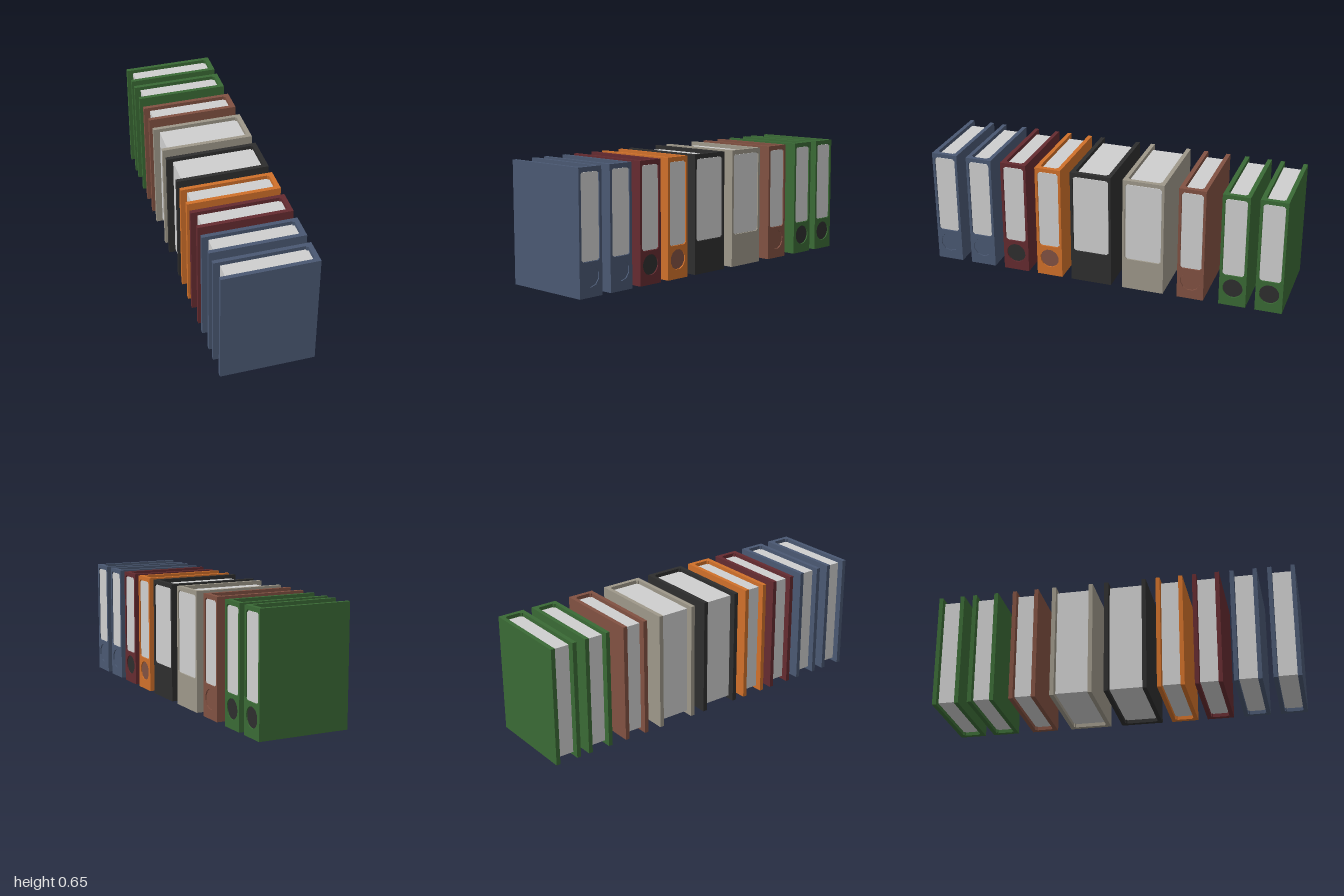
import * as THREE from 'three';

const H = 0.65, X = 0.255, WALL = 0.023, SPINE_IN = 0.23, FACE = 0.009;

function material(name, color) {
  const m = new THREE.MeshStandardMaterial({ color });
  m.name = name;
  return m;
}

function polygon(points, Type = THREE.Shape) {
  return new Type(points.map(([x, y]) => new THREE.Vector2(x, y)));
}

// Rectangle with clipped corners
function clippedRect(w, y0, y1, c) {
  const h = w / 2;
  return [[-h + c, y0], [h - c, y0], [h, y0 + c], [h, y1 - c],
    [h - c, y1], [-h + c, y1], [-h, y1 - c], [-h, y0 + c]];
}

function circle(r, cy, n) {
  return Array.from({ length: n }, (_, i) => {
    const a = ((i + 0.5) / n) * Math.PI * 2;
    return [Math.cos(a) * r, cy + Math.sin(a) * r];
  });
}

// Flat shape turned to face +x, its back at x
function plate(shape, x, depth, mat, name) {
  const g = new THREE.ExtrudeGeometry(shape, { depth, bevelEnabled: false });
  g.rotateY(Math.PI / 2);
  g.translate(x, 0, 0);
  const mesh = new THREE.Mesh(g, mat);
  mesh.name = name;
  return mesh;
}

function binder(width, cover, paper, plug, sides) {
  const g = new THREE.Group();
  const h = width / 2, i = h - WALL, back = X - FACE, c = 0.01;

  // U-shaped cover, open at the back, with small inner corners
  const profile = polygon([[-X, -h], [back, -h], [back, h], [-X, h], [-X, i],
    [SPINE_IN - c, i], [SPINE_IN - c, i - c / 2], [SPINE_IN, i - c],
    [SPINE_IN, -i + c], [SPINE_IN - c, -i + c / 2], [SPINE_IN - c, -i], [-X, -i]]);
  const coverGeo = new THREE.ExtrudeGeometry(profile, { depth: H, bevelEnabled: false });
  coverGeo.rotateX(-Math.PI / 2);
  const coverMesh = new THREE.Mesh(coverGeo, cover);
  coverMesh.name = 'cover';
  g.add(coverMesh);

  // Spine face with label window and finger hole
  const face = polygon([[-h, 0], [h, 0], [h, H], [-h, H]]);
  const windowW = width - 0.028;
  face.holes.push(polygon(clippedRect(windowW, 0.18, 0.63, 0.012), THREE.Path));
  if (plug) face.holes.push(polygon(circle(0.055, 0.105, sides), THREE.Path));
  g.add(plate(face, back, FACE, cover, 'spineFace'));

  // Label and finger hole disc set into the spine
  const label = polygon(clippedRect(windowW - 0.004, 0.182, 0.624, 0.01));
  g.add(plate(label, back, 0.004, paper, 'label'));
  if (plug) g.add(plate(polygon(circle(0.054, 0.105, sides)), back, 0.003, plug, 'fingerHole'));

  // Paper stack
  const stack = new THREE.Mesh(new THREE.BoxGeometry(0.44, H - 0.04, i * 2 - 0.002), paper);
  stack.name = 'paperStack';
  stack.position.set(0, H / 2, 0);
  g.add(stack);
  const inner = new THREE.Mesh(new THREE.BoxGeometry(0.01, H - 0.04, i * 2 - 0.02), paper);
  inner.name = 'paperInnerEdge';
  inner.position.set(0.2245, H / 2, 0);
  g.add(inner);
  return g;
}

export function createModel() {
  const paper = material('paper', 0xcfcfcf);
  const blue = material('blue', 0x4a5872);
  const maroon = material('maroon', 0x652b30);
  const orange = material('orange', 0xd0702a);
  const black = material('black', 0x2e2e2e);
  const grey = material('warmGrey', 0x9e988a);
  const brown = material('brown', 0x815142);
  const green = material('green', 0x3a6a35);

  // Row of binders: z centre, width, cover, finger hole colour, hole sides
  const row = [
    [0.926, 0.148, blue, blue, 10],
    [0.722, 0.148, blue, blue, 10],
    [0.517, 0.148, maroon, black, 20],
    [0.316, 0.148, orange, brown, 12],
    [0.071, 0.232, black, null, 0],
    [-0.226, 0.232, grey, null, 0],
    [-0.495, 0.148, brown, brown, 12],
    [-0.728, 0.148, green, black, 20],
    [-0.926, 0.148, green, black, 20],
  ];
  const model = new THREE.Group();
  model.name = 'binderRow';
  row.forEach(([z, width, cover, plug, sides], k) => {
    const b = binder(width, cover, paper, plug, sides);
    b.name = `${cover.name}Binder${k + 1}`;
    b.position.z = z;
    model.add(b);
  });
  return model;
}
